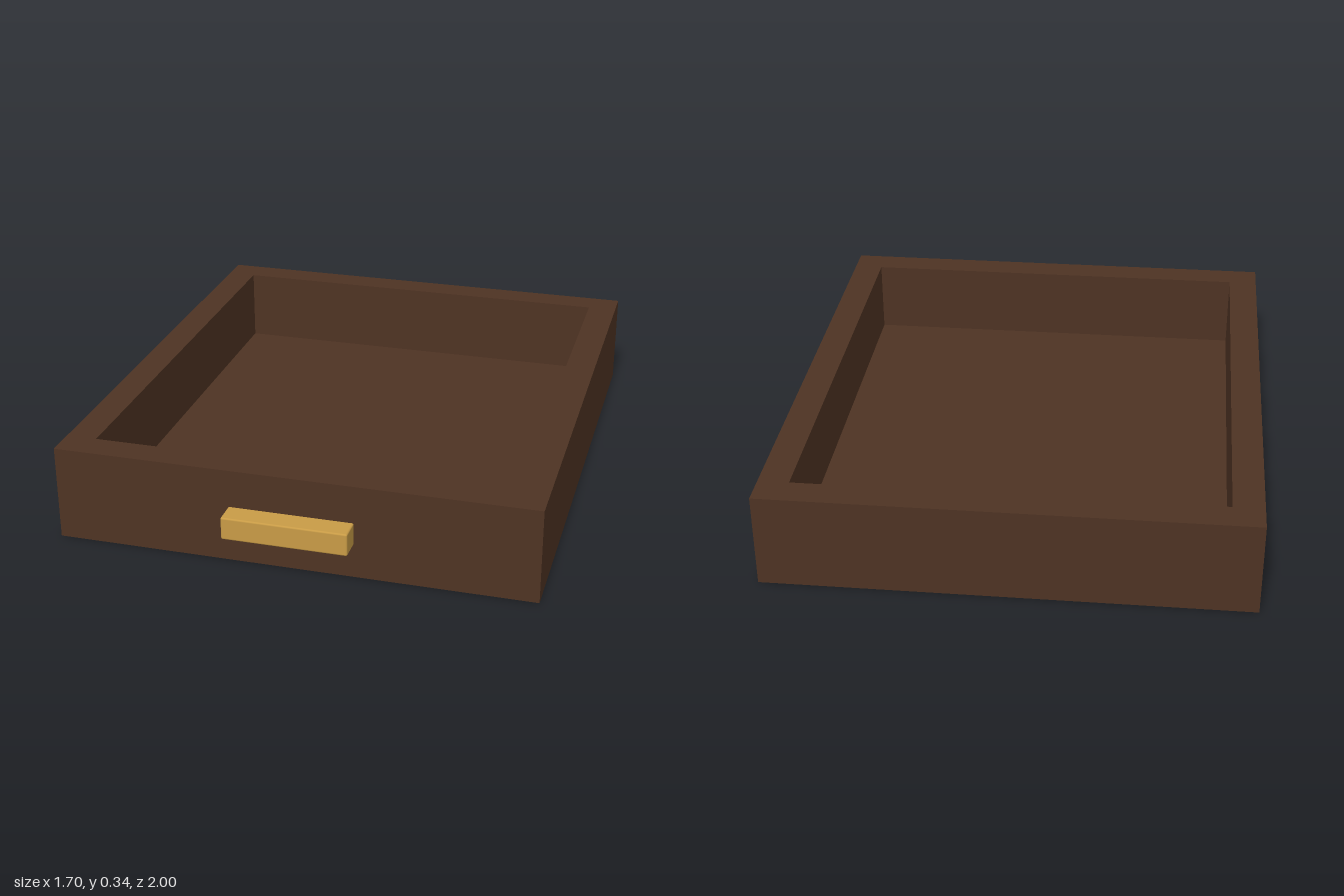
import * as THREE from 'three';
import { RoundedBoxGeometry } from 'three/addons/geometries/RoundedBoxGeometry.js';

const W = 1.7, H = 0.342, BACK = -1, FRONT = 0.915, WALL = 0.109, FLOOR = 0.065;

// Rectangle as a closed list of points, in x and z
function rectangle(x, z0, z1) {
  return [[-x, z0], [x, z0], [x, z1], [-x, z1]].map(([a, b]) => new THREE.Vector2(a, b));
}

export function createModel() {
  const wood = new THREE.MeshStandardMaterial({ color: 0x4e3323 });
  wood.name = 'dark wood';
  const brass = new THREE.MeshStandardMaterial({ color: 0xc89b46 });
  brass.name = 'brass';

  const group = new THREE.Group();
  group.name = 'drawer';
  const add = (name, geometry, material, x, y, z) => {
    const mesh = new THREE.Mesh(geometry, material);
    mesh.name = name;
    mesh.position.set(x, y, z);
    group.add(mesh);
    return mesh;
  };

  // Four walls as one frame, extruded upward
  const depth = FRONT - BACK, midZ = (FRONT + BACK) / 2;
  const outline = new THREE.Shape(rectangle(W / 2, -depth / 2, depth / 2));
  outline.holes.push(new THREE.Path(rectangle(W / 2 - WALL, -depth / 2 + WALL, depth / 2 - WALL)));
  const frame = new THREE.ExtrudeGeometry(outline, { depth: H, bevelEnabled: false });
  frame.rotateX(-Math.PI / 2);
  add('walls', frame, wood, 0, 0, midZ);

  // Bottom board set between the walls
  add('floor', new THREE.BoxGeometry(W - 2 * WALL, FLOOR, depth - 2 * WALL), wood, 0, FLOOR / 2, midZ);

  // Bar handle with slightly softened edges
  add('handle', new RoundedBoxGeometry(0.44, 0.082, 0.085, 2, 0.006), brass, 0, 0.167, 0.9575);

  return group;
}
